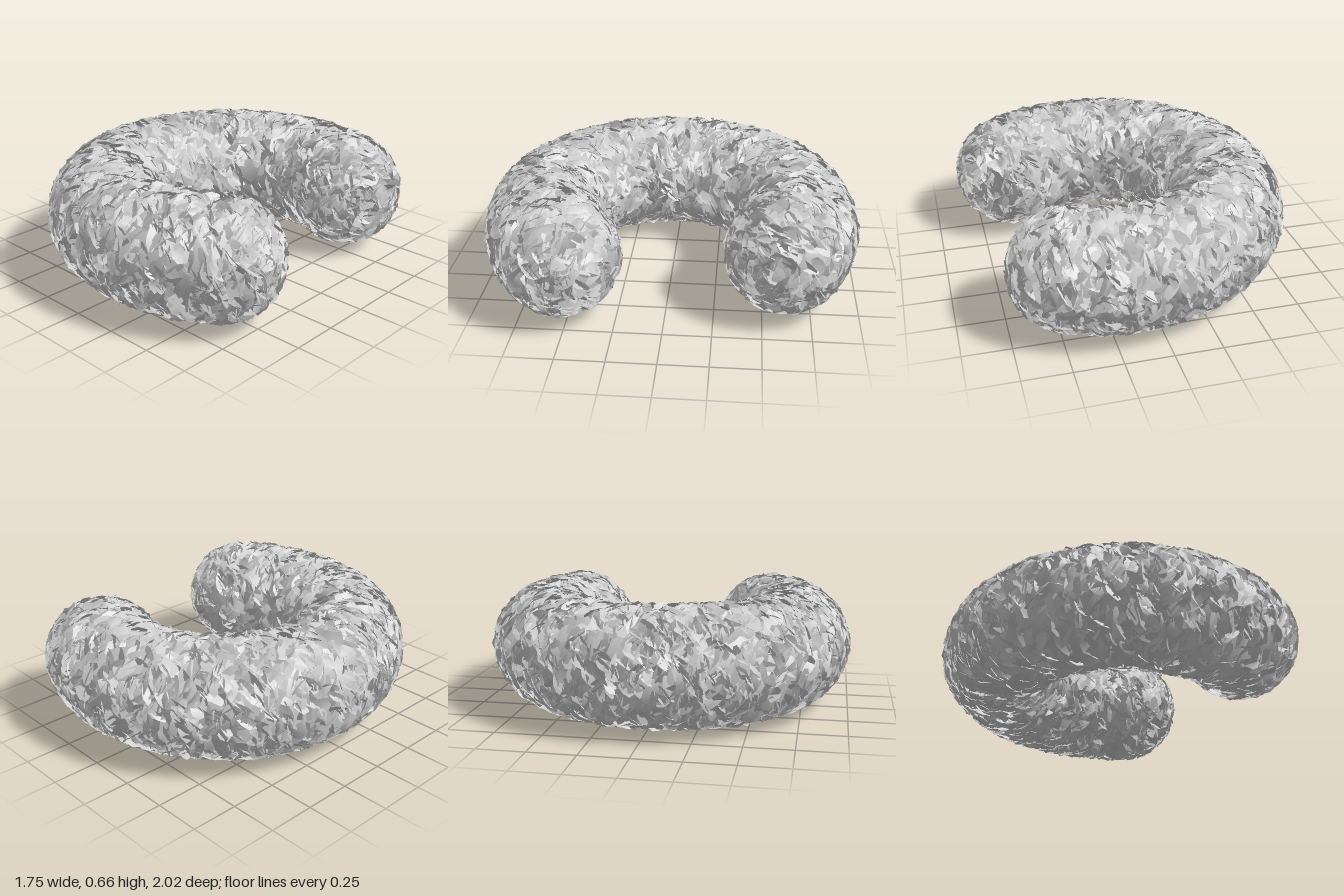
import * as THREE from 'three';

const R = 0.683;              // radius of the bend
const r = 0.316;              // thickness radius
const CORE = 0.285;           // radius of the solid under the flakes
const HEIGHT = 0.33, SHIFT = 0.13;
const START = 0.907, END = 5.169; // angles of the two ends
const FLAKES = 5500;

// Small seeded generator, returns 0..1
function seeded(seed) {
  return () => {
    seed = (seed + 0x6d2b79f5) >>> 0;
    let t = Math.imul(seed ^ (seed >>> 15), seed | 1);
    t ^= t + Math.imul(t ^ (t >>> 7), t | 61);
    return ((t ^ (t >>> 14)) >>> 0) / 4294967296;
  };
}

const rnd = seeded(11);
const spread = (a) => (rnd() * 2 - 1) * a;
const outAt = (phi) => new THREE.Vector3(Math.cos(phi), 0, Math.sin(phi));
const alongAt = (phi) => new THREE.Vector3(-Math.sin(phi), 0, Math.cos(phi));
const UP = new THREE.Vector3(0, 1, 0);

// Evenly scattered spot on the bent roll or on one of its round caps
function randomSpot() {
  let phi, lean = 0, t;
  if (rnd() < 0.2) {
    const atEnd = rnd() < 0.5;
    phi = atEnd ? END : START;
    lean = atEnd ? rnd() : -rnd();
    t = rnd() * Math.PI * 2;
  } else {
    phi = START + rnd() * (END - START);
    do t = rnd() * Math.PI * 2; while (rnd() > (R + r * Math.cos(t)) / (R + r));
  }
  const out = outAt(phi), along = alongAt(phi);
  const ring = Math.sqrt(1 - lean * lean);
  const normal = out.clone().multiplyScalar(Math.cos(t) * ring)
    .addScaledVector(UP, Math.sin(t) * ring).addScaledVector(along, lean);
  const around = out.clone().multiplyScalar(-Math.sin(t)).addScaledVector(UP, Math.cos(t));
  return { centre: out.multiplyScalar(R), normal, around };
}

// Coat of short twisted flakes, each tilted its own way
function flakeCoat() {
  const points = [], index = [];
  const widths = [0.55, 1, 0.95, 0.5];
  for (let n = 0; n < FLAKES; n++) {
    const { centre, normal, around } = randomSpot();
    const dir = around.applyAxisAngle(normal, spread(1.1));
    const side = dir.clone().cross(normal);
    const length = 0.04 + rnd() * 0.025, width = 0.02 + rnd() * 0.014;
    const tilt = (rnd() < 0.5 ? -1 : 1) * (0.25 + rnd() * 0.75);
    const twist = spread(0.4), pitch = spread(0.25);
    const sink = 0.65 * (width * Math.sin(Math.abs(tilt)) + length * Math.abs(pitch));
    const middle = centre.addScaledVector(normal, r - sink);
    const first = points.length / 3;

    widths.forEach((w, i) => {
      const s = i / 1.5 - 1;
      const angle = tilt + twist * s;
      const sag = (length * s) ** 2 / (2 * r);
      for (const edge of [-1, 1]) {
        const half = edge * w * width * (1 + spread(0.2));
        const p = middle.clone()
          .addScaledVector(dir, s * length)
          .addScaledVector(side, half * Math.cos(angle))
          .addScaledVector(normal, half * Math.sin(angle) + pitch * s * length - sag);
        points.push(p.x, p.y, p.z);
      }
    });
    for (let i = 0; i < widths.length - 1; i++) {
      const a = first + i * 2;
      index.push(a, a + 1, a + 2, a + 1, a + 3, a + 2);
    }
  }
  const geo = new THREE.BufferGeometry();
  geo.setAttribute('position', new THREE.Float32BufferAttribute(points, 3));
  geo.setIndex(index);
  geo.computeVertexNormals();
  return geo;
}

export function createModel() {
  const group = new THREE.Group();
  const material = new THREE.MeshStandardMaterial({ color: 0xcccccc, side: THREE.DoubleSide });
  const add = (name, geometry) => {
    const mesh = new THREE.Mesh(geometry, material);
    mesh.name = name;
    mesh.position.set(SHIFT, HEIGHT, 0);
    group.add(mesh);
    return mesh;
  };

  // Solid bent core with round ends
  add('core', new THREE.TorusGeometry(R, CORE, 32, 64, END - START).rotateX(Math.PI / 2).rotateY(-START));
  for (const [name, phi] of [['frontEnd', START], ['backEnd', END]]) {
    add(name, new THREE.SphereGeometry(CORE, 32, 20)).position.addScaledVector(outAt(phi), R);
  }
  add('flakes', flakeCoat());
  return group;
}
